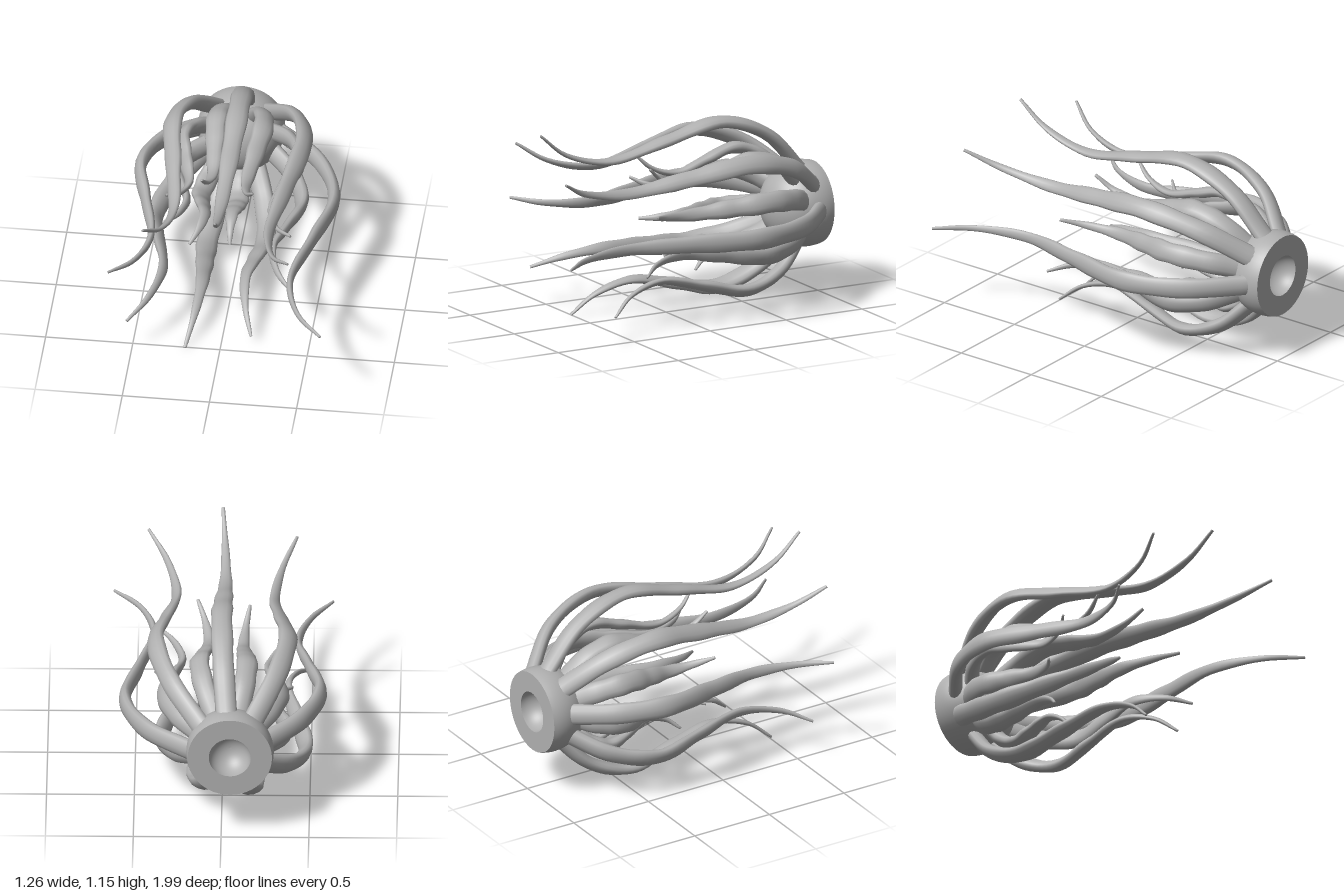
import * as THREE from 'three';

const CX = -0.05, CY = 0.53;   // axis of the head
const HEAD_Z = -0.93, HEAD_R = 0.25, BACK_Z = -1, HOLE_R = 0.12;
const COUNT = 16, STEP = THREE.MathUtils.degToRad(42.25);

// Interpolates a short list of [position, value] pairs
function ramp(list, u) {
  for (let i = 1; i < list.length; i++) {
    const [u0, v0] = list[i - 1], [u1, v1] = list[i];
    if (u <= u1) return v0 + (v1 - v0) * (u - u0) / (u1 - u0);
  }
  return list[list.length - 1][1];
}

const WIDTH = [[0, 0.062], [0.4, 0.061], [0.55, 0.052], [0.74, 0.034], [0.9, 0.018], [1, 0.009]];
const DEPTH = [[0, 0.04], [0.35, 0.034], [0.55, 0.028], [0.74, 0.019], [0.9, 0.012], [1, 0.007]];

// One arm: swells outward, dips in, then flicks out at the tip
function armGeometry(i) {
  const a = i * STEP;
  const z0 = -0.92 + 0.009 * i, z1 = 0.99 - 0.08 * i;
  const root = 0.215 - 0.004 * i, peak = 0.605 - 0.0215 * i;
  const dip = 0.45 - 0.0165 * i, tip = 0.682 - 0.0255 * i;
  const profile = [
    [0, root],
    [0.136, root + 0.68 * (peak - root)],
    [0.315, peak],
    [0.525, (peak + dip) / 2],
    [0.735, dip],
    [0.9, dip + 0.36 * (tip - dip)],
    [1, tip],
  ];
  const curve = new THREE.CatmullRomCurve3(profile.map(([t, r]) =>
    new THREE.Vector3(CX + r * Math.cos(a), CY + r * Math.sin(a), z0 + (z1 - z0) * t)));

  const rings = 44, sides = 12, pos = [], idx = [];
  const side = new THREE.Vector3(-Math.sin(a), Math.cos(a), 0);
  for (let k = 0; k <= rings + 1; k++) {
    const u = Math.min(k / rings, 1);
    const p = curve.getPointAt(u);
    const out = new THREE.Vector3().crossVectors(side, curve.getTangentAt(u)).normalize();
    // gentle wrinkles along the arm; the last ring closes the tip
    const s = k > rings ? 0 : 1 + 0.05 * Math.sin(u * 42 + i * 1.7) * Math.min(1, u * 3);
    const w = ramp(WIDTH, u) * s, d = ramp(DEPTH, u) * s;
    for (let j = 0; j < sides; j++) {
      const f = j / sides * Math.PI * 2;
      const v = p.clone().addScaledVector(out, d * Math.cos(f)).addScaledVector(side, w * Math.sin(f));
      pos.push(v.x, v.y, v.z);
      if (k <= rings) {
        const n = (j + 1) % sides, b = k * sides, c = b + sides;
        idx.push(b + j, b + n, c + j, b + n, c + n, c + j);
      }
    }
  }
  const g = new THREE.BufferGeometry();
  g.setAttribute('position', new THREE.Float32BufferAttribute(pos, 3));
  g.setIndex(idx);
  g.computeVertexNormals();
  return g;
}

// Round arc profile as lathe points
function arc(radius, centre, from, to, n) {
  return Array.from({ length: n + 1 }, (_, k) => {
    const t = from + (to - from) * k / n;
    return new THREE.Vector2(Math.max(0, radius * Math.cos(t)), centre + radius * Math.sin(t));
  });
}

export function createModel() {
  const grey = new THREE.MeshStandardMaterial({ color: 0xb0b0b0 });
  grey.name = 'grey';
  const model = new THREE.Group();
  model.name = 'tentacledHead';

  // Head: dome, flat back rim and hollow socket
  const head = new THREE.Group();
  head.name = 'head';
  head.position.set(CX, CY, 0);
  const cut = Math.asin((BACK_Z - HEAD_Z) / HEAD_R);
  const rimR = HEAD_R * Math.cos(cut);
  const parts = {
    dome: arc(HEAD_R, HEAD_Z, cut, Math.PI / 2, 24),
    backRim: [new THREE.Vector2(HOLE_R, BACK_Z), new THREE.Vector2(rimR, BACK_Z)],
    socket: arc(HOLE_R, BACK_Z, Math.PI / 2, 0, 12),
  };
  for (const [name, points] of Object.entries(parts)) {
    const mesh = new THREE.Mesh(new THREE.LatheGeometry(points, 48).rotateX(Math.PI / 2), grey);
    mesh.name = name;
    head.add(mesh);
  }
  model.add(head);

  // Arms spiral round the head, each shorter than the last
  const arms = new THREE.Group();
  arms.name = 'arms';
  for (let i = 0; i < COUNT; i++) {
    const arm = new THREE.Mesh(armGeometry(i), grey);
    arm.name = `arm${i + 1}`;
    arms.add(arm);
  }
  model.add(arms);
  return model;
}
